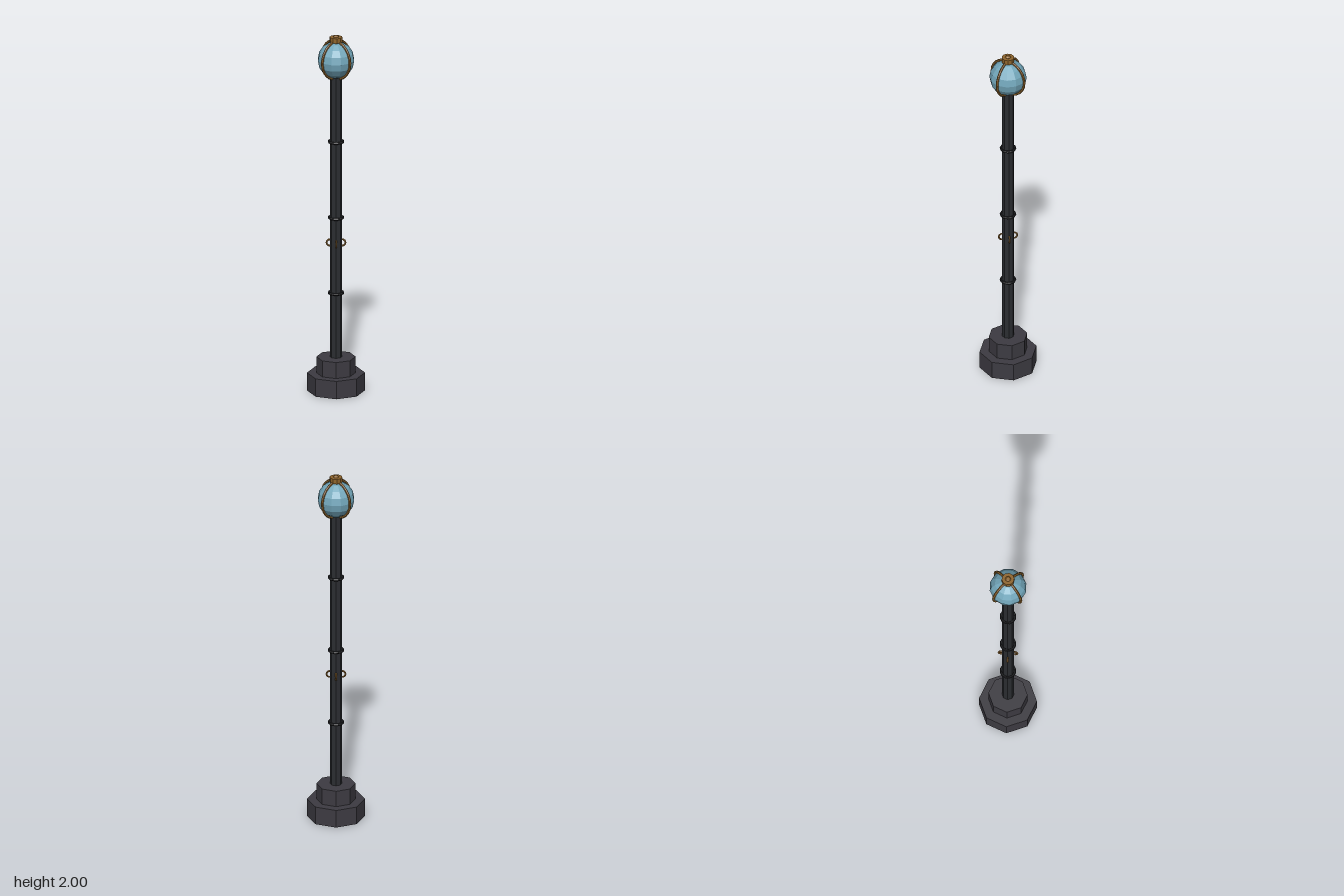
import * as THREE from 'three';

const mat = (color) => new THREE.MeshStandardMaterial({ color, flatShading: true });

export function createModel() {
  const model = new THREE.Group();
  const stone = mat(0x3d3b42), iron = mat(0x2b2d31), darkIron = mat(0x1d1e21);
  const brass = mat(0x8f652c), glass = mat(0x72a6ba);

  const add = (name, geometry, material, x = 0, y = 0, z = 0) => {
    const mesh = new THREE.Mesh(geometry, material);
    mesh.name = name;
    mesh.position.set(x, y, z);
    model.add(mesh);
    return mesh;
  };
  // Upright prism between two heights
  const prism = (name, r, y0, y1, sides, material) =>
    add(name, new THREE.CylinderGeometry(r, r, y1 - y0, sides), material, 0, (y0 + y1) / 2);

  // Stepped octagonal base and pole
  prism('baseLower', 0.155, 0, 0.1, 8, stone);
  prism('baseUpper', 0.105, 0.1, 0.19, 8, stone);
  prism('pole', 0.033, 0.19, 1.765, 8, iron);

  // Collars along the pole
  for (const y of [0.55, 0.973, 1.4]) {
    add('poleCollar', new THREE.TorusGeometry(0.038, 0.007, 6, 12), darkIron, 0, y).rotation.x = Math.PI / 2;
  }

  // Four small brass loops standing out from the pole on the diagonals
  for (let i = 0; i < 4; i++) {
    const a = Math.PI / 4 + i * Math.PI / 2;
    add('brassLoop', new THREE.TorusGeometry(0.018, 0.005, 6, 10), brass,
      0.033 * Math.cos(a), 0.832, -0.033 * Math.sin(a)).rotation.y = a;
  }

  // Glass globe held in two crossed brass hoops
  add('globe', new THREE.SphereGeometry(0.1, 12, 8), glass, 0, 1.86);
  for (const turn of [0, Math.PI / 2]) {
    add('cageHoop', new THREE.TorusGeometry(0.105, 0.007, 6, 24), brass, 0, 1.86).rotation.y = turn;
  }

  // Cap and finial
  prism('cap', 0.034, 1.96, 1.988, 10, brass);
  add('finial', new THREE.SphereGeometry(0.017, 8, 6), brass, 0, 1.983);

  return model;
}
